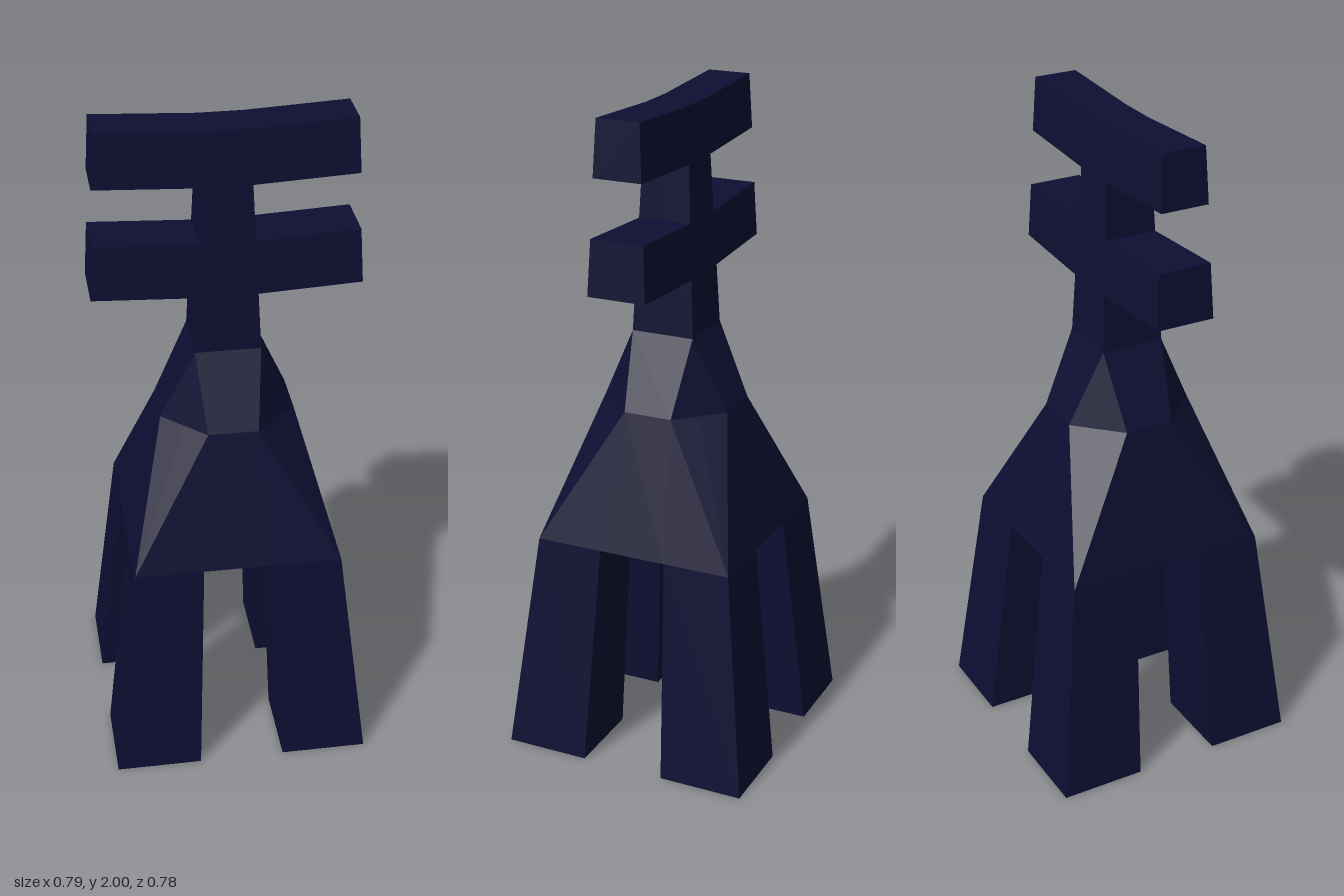
import * as THREE from 'three';

const material = new THREE.MeshStandardMaterial({ color: 0x0e0e33, flatShading: true });

// Skins a list of 3D rings; each ring runs counter-clockwise seen from the end of the loft.
// flip(i) picks the other diagonal for the quads of side i.
function loft(name, rings, { start = true, end = true, flip = () => false } = {}) {
  const pos = [];
  const tri = (a, b, c) => pos.push(...a, ...b, ...c);
  const n = rings[0].length;
  for (let r = 0; r < rings.length - 1; r++) {
    for (let i = 0; i < n; i++) {
      const j = (i + 1) % n;
      const a = rings[r][i], b = rings[r][j], c = rings[r + 1][j], d = rings[r + 1][i];
      if (flip(i)) { tri(a, b, c); tri(a, c, d); } else { tri(a, b, d); tri(b, c, d); }
    }
  }
  const first = rings[0], last = rings[rings.length - 1];
  for (let i = 1; i < n - 1; i++) {
    if (start) tri(first[0], first[i + 1], first[i]);
    if (end) tri(last[0], last[i], last[i + 1]);
  }
  const geo = new THREE.BufferGeometry();
  geo.setAttribute('position', new THREE.Float32BufferAttribute(pos, 3));
  geo.computeVertexNormals();
  const mesh = new THREE.Mesh(geo, material);
  mesh.name = name;
  return mesh;
}

// Repeats one quadrant of [x, z] points four times around the y axis
function fourfold(y, quadrant) {
  const ring = [];
  for (let q = 0; q < 4; q++) {
    for (let [x, z] of quadrant) {
      for (let k = 0; k < q; k++) [x, z] = [z, -x];
      ring.push([x, y, z]);
    }
  }
  return ring;
}

// Half width of the tapering neck at height y
const neckHalf = (y) => 0.097 - (y - 1.31) * 0.046;

export function createModel() {
  const model = new THREE.Group();

  // Body: wide square base, octagonal shoulder, square collar
  const h = neckHalf(1.31);
  model.add(loft('body', [
    fourfold(0.68, [[0.105, 0.312], [0.312, 0.312], [0.312, 0.105]]),
    fourfold(1.09, [[0.075, 0.2], [0.138, 0.138], [0.2, 0.075]]),
    fourfold(1.31, [[h, h], [h, h], [h, h]]),
  ], { end: false, flip: (i) => i % 3 === 1 }));

  // Neck
  const neckRing = (y) => fourfold(y, [[neckHalf(y), neckHalf(y)]]);
  model.add(loft('neck', [neckRing(1.31), neckRing(1.985)], { start: false }));

  // Four splayed legs
  const legRing = (y, inner, outer) =>
    [[inner, y, outer], [outer, y, outer], [outer, y, inner], [inner, y, inner]];
  for (let i = 0; i < 4; i++) {
    const leg = loft('leg', [legRing(0, 0.13, 0.39), legRing(0.68, 0.105, 0.312)], { end: false });
    leg.rotation.y = i * Math.PI / 2;
    model.add(leg);
  }

  // Two crossbars, each a pair of arms rising slightly towards the tips
  const armRing = (xLow, xHigh, low, high, zLow, zHigh) =>
    [[xLow, low, zLow], [xLow, low, -zLow], [xHigh, high, -zHigh], [xHigh, high, zHigh]];
  for (const [name, low, tipLow, tipHigh] of [
    ['lowerArm', 1.485, 0.393, 0.384],
    ['upperArm', 1.82, 0.379, 0.37],
  ]) {
    const high = low + 0.165;
    const zLow = neckHalf(low), zHigh = neckHalf(high);
    for (const turn of [0, Math.PI]) {
      const arm = loft(name, [
        armRing(zLow, zHigh, low, high, zLow, zHigh),
        armRing(tipLow, tipHigh, low + 0.015, high + 0.015, zLow, zHigh),
      ], { start: false });
      arm.rotation.y = turn;
      model.add(arm);
    }
  }
  return model;
}
